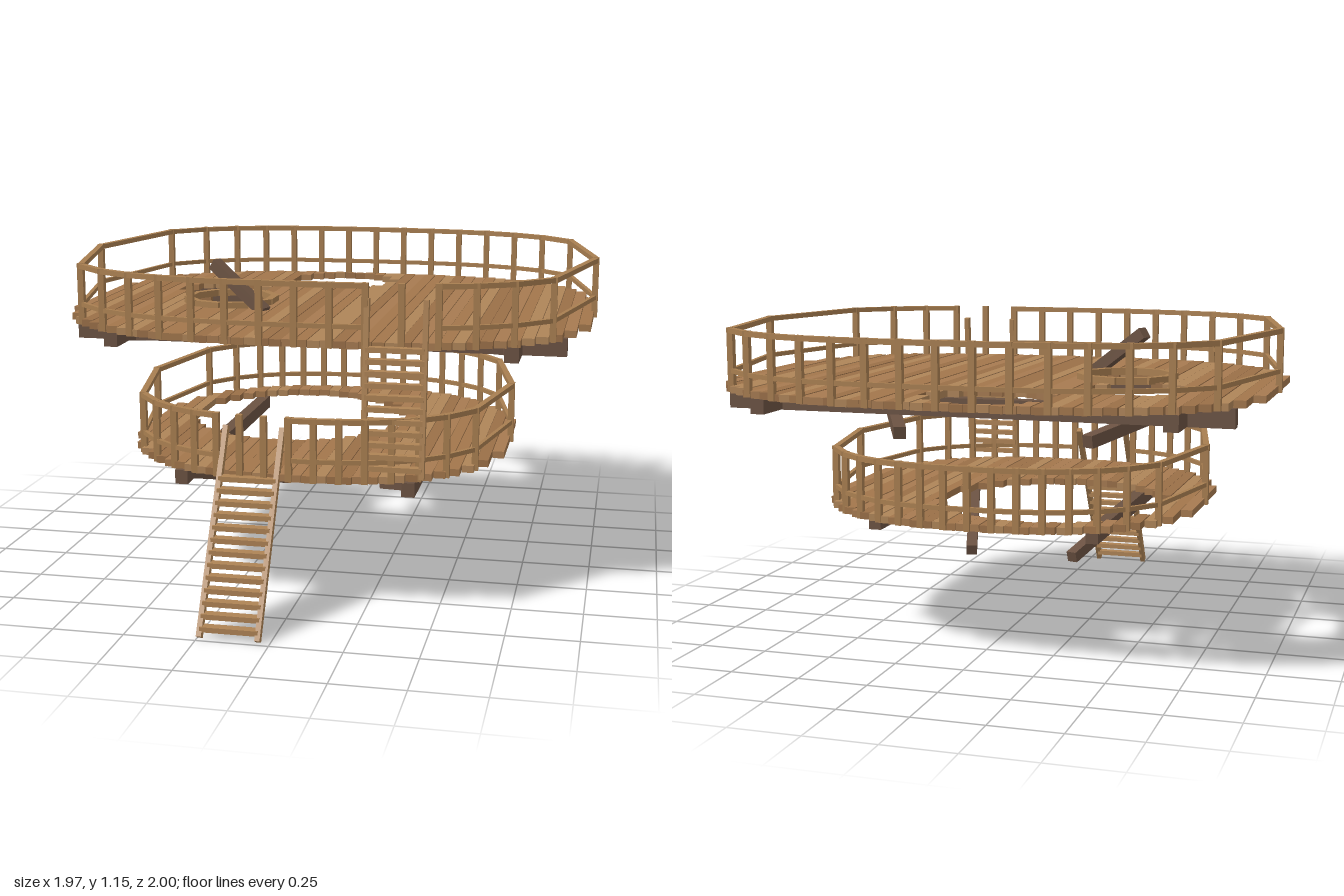
import * as THREE from 'three';

const mat = (color) => new THREE.MeshStandardMaterial({ color, roughness: 0.9 });
const PLANKS = [0xa67a50, 0x9a6f47, 0xae8458, 0xa2764b].map(mat);
const RAIL = mat(0xa87e50), BEAM = mat(0x6b5242), LADDER = mat(0xae8355);

function box(parent, name, size, pos, material) {
  const m = new THREE.Mesh(new THREE.BoxGeometry(...size), material);
  m.position.set(...pos);
  m.name = name;
  parent.add(m);
  return m;
}

// Square timber running from point a to point b
function timber(parent, name, a, b, w, h, material) {
  const A = new THREE.Vector3(...a), B = new THREE.Vector3(...b);
  const mid = A.clone().add(B).multiplyScalar(0.5);
  const m = box(parent, name, [w, h, A.distanceTo(B)], mid.toArray(), material);
  m.lookAt(B);
  return m;
}

// Half depth of a rounded-square outline at a given x
const halfDepth = (x, d) =>
  d.rz * Math.pow(Math.max(0, 1 - Math.pow(Math.abs(x) / d.rx, d.n)), 1 / d.n);

// Planked floor with round openings cut plank by plank
function floor(parent, d) {
  const g = new THREE.Group();
  g.name = 'floor';
  const pitch = (2 * d.rx) / d.planks;
  for (let i = 0; i < d.planks; i++) {
    const x = -d.rx + (i + 0.5) * pitch;
    const e = halfDepth(x, d);
    let spans = [[d.cz - e, d.cz + e]];
    for (const h of d.holes) {
      const t = 1 - ((x - h.x) / h.rx) ** 2;
      if (t <= 0) continue;
      const c = h.rz * Math.sqrt(t);
      spans = spans.flatMap(([a, b]) => [
        [a, Math.min(b, h.z - c)],
        [Math.max(a, h.z + c), b],
      ]).filter(([a, b]) => b - a > 0.005);
    }
    for (const [a, b] of spans) {
      box(g, 'plank', [pitch * 0.95, 0.025, b - a],
        [x, d.y - 0.0125 - (i % 3) * 0.001, (a + b) / 2], PLANKS[(i * 7 + (i >> 2)) % 4]);
    }
  }
  parent.add(g);
}

// Posts around the outline with a top and a middle rail, open at the ladder
function railing(parent, d) {
  const g = new THREE.Group();
  g.name = 'railing';
  const steps = 16, pts = [];
  for (const side of [1, -1]) {
    for (let i = 0; i < steps; i++) {
      const x = side * d.rx * (-1 + (2 * i) / steps);
      pts.push([x, d.cz + side * halfDepth(x, d)]);
    }
  }
  pts.forEach(([x, z], i) => {
    const [nx, nz] = pts[(i + 1) % pts.length];
    box(g, 'post', [0.022, 0.225, 0.022], [x, d.y + 0.0875, z], RAIL);
    const mx = (x + nx) / 2, mz = (z + nz) / 2;
    if (mz > d.cz && mx > d.gap[0] && mx < d.gap[1]) return;
    timber(g, 'topRail', [x, d.y + 0.19, z], [nx, d.y + 0.19, nz], 0.022, 0.018, RAIL);
    timber(g, 'middleRail', [x, d.y + 0.05, z], [nx, d.y + 0.05, nz], 0.014, 0.016, RAIL);
  });
  parent.add(g);
}

// Two side rails with evenly spaced treads; foot and top are [y, z]
function ladder(parent, name, x0, x1, foot, top, treads, first, last, depth) {
  const g = new THREE.Group();
  g.name = name;
  for (const x of [x0, x1]) {
    timber(g, 'sideRail', [x, ...foot], [x, ...top], 0.018, 0.026, LADDER);
  }
  for (let i = 0; i < treads; i++) {
    const y = first + ((last - first) * i) / (treads - 1);
    const t = (y - foot[0]) / (top[0] - foot[0]);
    const z = foot[1] + (top[1] - foot[1]) * t;
    box(g, 'tread', [x1 - x0, 0.018, depth], [(x0 + x1) / 2, y, z], LADDER);
  }
  parent.add(g);
}

export function createModel() {
  const root = new THREE.Group();
  root.name = 'treeHousePlatforms';

  const upper = {
    y: 0.952, cz: -0.19, rx: 0.975, rz: 0.8, n: 2.9, planks: 44, gap: [0.24, 0.49],
    holes: [
      { x: -0.1, z: -0.77, rx: 0.215, rz: 0.2 },
      { x: -0.53, z: -0.43, rx: 0.17, rz: 0.18 },
      { x: -0.42, z: -0.13, rx: 0.165, rz: 0.165 },
    ],
  };
  const lower = {
    y: 0.502, cz: 0, rx: 0.69, rz: 0.7, n: 2.5, planks: 32, gap: [-0.26, 0],
    holes: [{ x: -0.16, z: -0.18, rx: 0.42, rz: 0.42 }],
  };
  for (const [name, d] of [['upperDeck', upper], ['lowerDeck', lower]]) {
    const g = new THREE.Group();
    g.name = name;
    floor(g, d);
    railing(g, d);
    root.add(g);
  }

  // Raised rim around the small round opening
  const rim = new THREE.Group();
  rim.name = 'openingRim';
  const corner = (i) => {
    const a = ((i + 0.5) / 10) * Math.PI * 2;
    return [-0.42 + 0.17 * Math.cos(a), 0.96, -0.13 + 0.17 * Math.sin(a)];
  };
  for (let i = 0; i < 10; i++) {
    timber(rim, 'rimBoard', corner(i), corner(i + 1), 0.03, 0.025, RAIL);
  }
  root.add(rim);

  // Supporting beams and diagonal braces under both decks
  const frame = new THREE.Group();
  frame.name = 'supportFrame';
  for (const z of [-0.64, 0.25]) {
    box(frame, 'crossBeam', [1.8, 0.065, 0.05], [0, 0.894, z], BEAM);
  }
  for (const s of [-1, 1]) {
    box(frame, 'upperBeam', [0.05, 0.063, 1.24], [s * 0.72, 0.895, -0.19], BEAM);
    box(frame, 'lowerBeam', [0.045, 0.05, 1.19], [s * 0.4, 0.452, 0.04], BEAM);
    timber(frame, 'upperBrace', [s * 0.72, 0.89, 0.31], [s * 0.35, 0.76, -0.43], 0.045, 0.045, BEAM);
    timber(frame, 'lowerBrace', [s * 0.4, 0.45, 0.56], [s * 0.2, 0.26, -0.08], 0.04, 0.04, BEAM);
  }
  timber(frame, 'obliquePost', [-0.46, 1.11, -0.035], [-0.24, 0.945, 0.06], 0.042, 0.042, BEAM);
  root.add(frame);

  // Ladder from the ground and ladder between the decks
  ladder(root, 'lowerLadder', -0.24, -0.04, [0.008, 0.985], [0.64, 0.615], 13, 0.035, 0.48, 0.035);
  ladder(root, 'upperLadder', 0.25, 0.45, [0.5, 0.66], [1.1, 0.6], 11, 0.53, 0.93, 0.03);

  return root;
}
